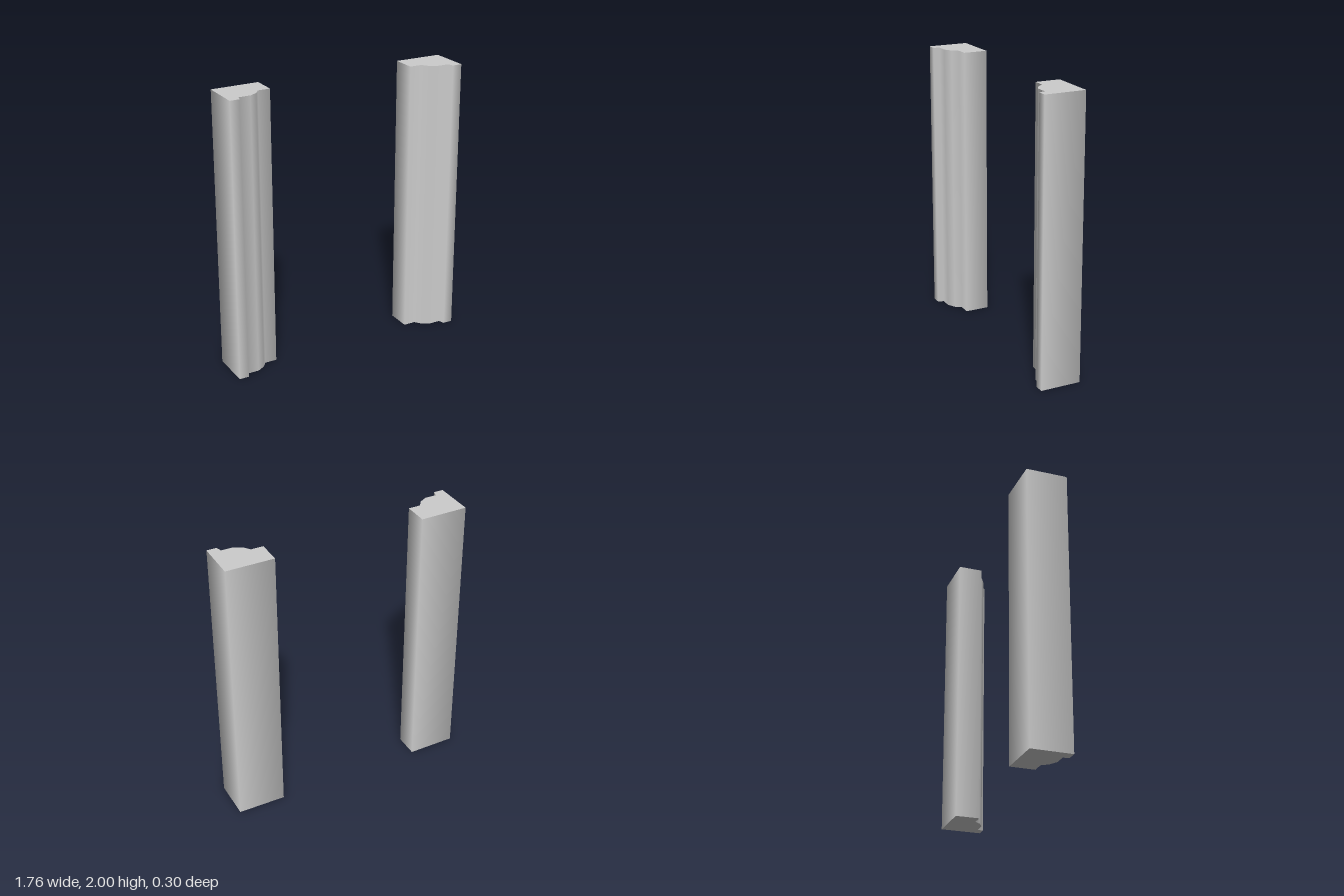
import * as THREE from 'three';
import { mergeGeometries } from 'three/addons/utils/BufferGeometryUtils.js';

const HEIGHT = 2;

// Plan outline [x, z] of the left jamb, counter-clockwise seen from above
const OUTLINE = [
  [0.54, 0.025], [0.627, 0.025], [0.66, 0.07], [0.717, 0.102], [0.8, 0.102],
  [0.813, 0.145], [0.882, 0.145], [0.882, -0.147], [0.54, -0.15],
];

// Moulded sides with normals blended around the corners
function sideGeometry(outline) {
  const n = outline.length;
  const edgeNormals = outline.map(([x, z], i) => {
    const [nx, nz] = outline[(i + 1) % n];
    return new THREE.Vector3(z - nz, 0, nx - x).normalize();
  });
  const position = [], normal = [], uv = [], index = [];
  outline.forEach(([x, z], i) => {
    const dir = edgeNormals[i].clone().add(edgeNormals[(i + n - 1) % n]).normalize();
    for (const y of [0, HEIGHT]) {
      position.push(x, y, z);
      normal.push(dir.x, 0, dir.z);
      uv.push(i / n, y / HEIGHT);
    }
    const a = i * 2, b = ((i + 1) % n) * 2;
    index.push(a, b, b + 1, a, b + 1, a + 1);
  });
  const geometry = new THREE.BufferGeometry();
  geometry.setAttribute('position', new THREE.Float32BufferAttribute(position, 3));
  geometry.setAttribute('normal', new THREE.Float32BufferAttribute(normal, 3));
  geometry.setAttribute('uv', new THREE.Float32BufferAttribute(uv, 2));
  geometry.setIndex(index);
  return geometry;
}

// Flat end, facing up (1) or down (-1)
function capGeometry(outline, facing) {
  const shape = new THREE.Shape(outline.map(([x, z]) => new THREE.Vector2(x, -facing * z)));
  return new THREE.ShapeGeometry(shape)
    .rotateX(-facing * Math.PI / 2)
    .translate(0, facing > 0 ? HEIGHT : 0, 0);
}

export function createModel() {
  const group = new THREE.Group();
  group.name = 'doorJambs';
  const material = new THREE.MeshStandardMaterial({ color: 0xcccccc });

  // Mirrored pair of jambs
  const mirrored = OUTLINE.map(([x, z]) => [-x, z]).reverse();
  for (const [name, outline] of [['leftJamb', OUTLINE], ['rightJamb', mirrored]]) {
    const geometry = mergeGeometries([
      sideGeometry(outline), capGeometry(outline, 1), capGeometry(outline, -1),
    ]);
    const jamb = new THREE.Mesh(geometry, material);
    jamb.name = name;
    group.add(jamb);
  }
  return group;
}
